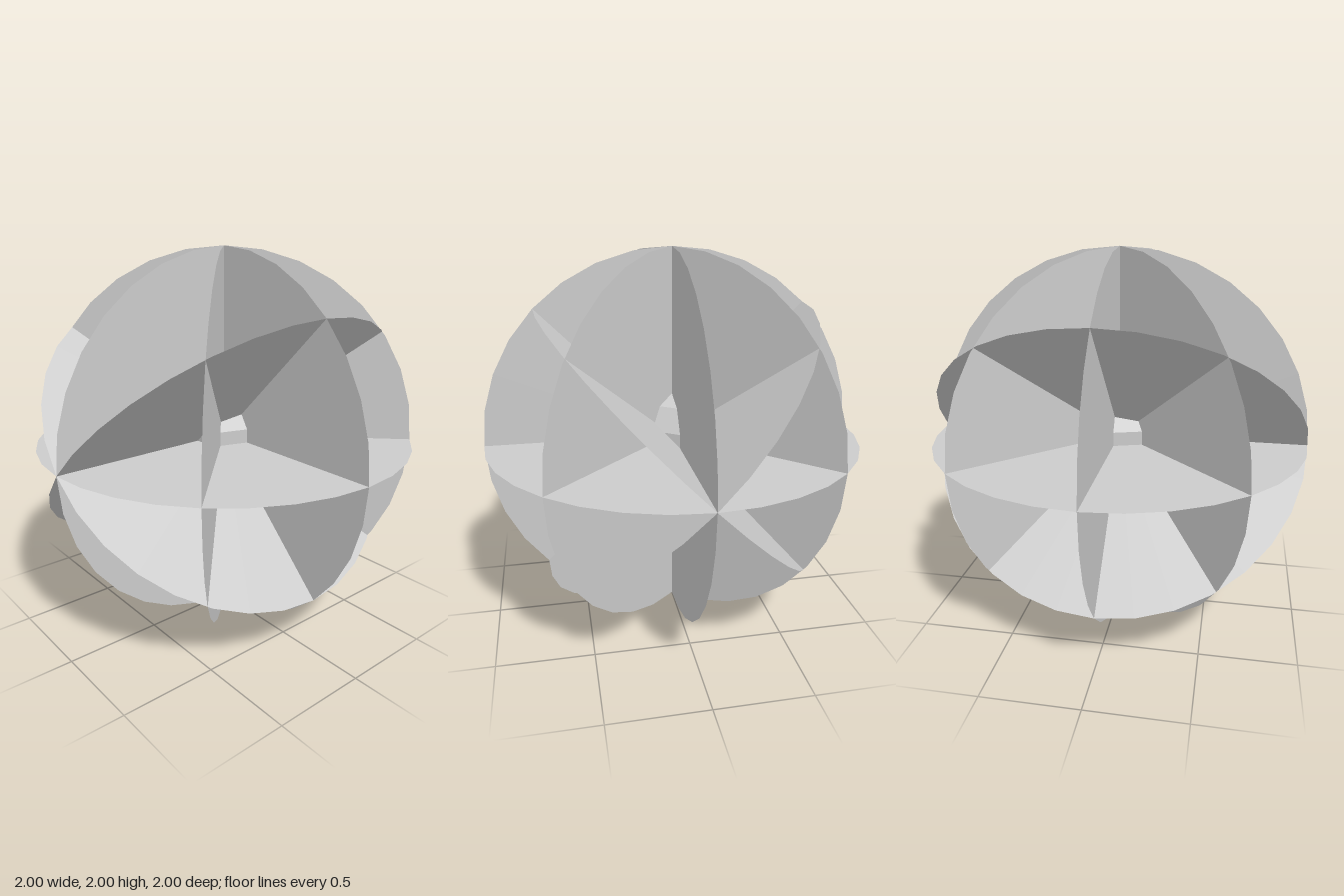
import * as THREE from 'three';

export function createModel() {
  const model = new THREE.Group();
  const discMaterial = new THREE.MeshStandardMaterial({ color: 0xcccccc, flatShading: true, side: THREE.DoubleSide });
  const coreMaterial = new THREE.MeshStandardMaterial({ color: 0xcccccc, flatShading: true });
  const quarter = Math.PI / 2;
  const eighth = Math.PI / 4;

  // Crossing paper-thin discs, each turned about x, then y, then z
  const discs = [
    ['frontDisc', 0, 0, 0],
    ['sideDisc', 0, quarter, 0],
    ['levelDisc', quarter, 0, 0],
    ['uprightDiagonalDiscLeft', 0, eighth, 0],
    ['uprightDiagonalDiscRight', 0, -eighth, 0],
    ['tiltedDiscLeft', quarter, 0, eighth],
    ['tiltedDiscRight', quarter, 0, -eighth],
  ];
  for (const [name, rx, ry, rz] of discs) {
    const geometry = new THREE.CircleGeometry(1, 32).rotateX(rx).rotateY(ry).rotateZ(rz);
    const disc = new THREE.Mesh(geometry, discMaterial);
    disc.name = name;
    disc.position.y = 1;
    model.add(disc);
  }

  // Faceted five-sided core with a flat side facing the front
  const core = new THREE.Mesh(new THREE.SphereGeometry(0.235, 5, 5).rotateY(-quarter), coreMaterial);
  core.name = 'core';
  core.position.y = 1;
  model.add(core);

  return model;
}
